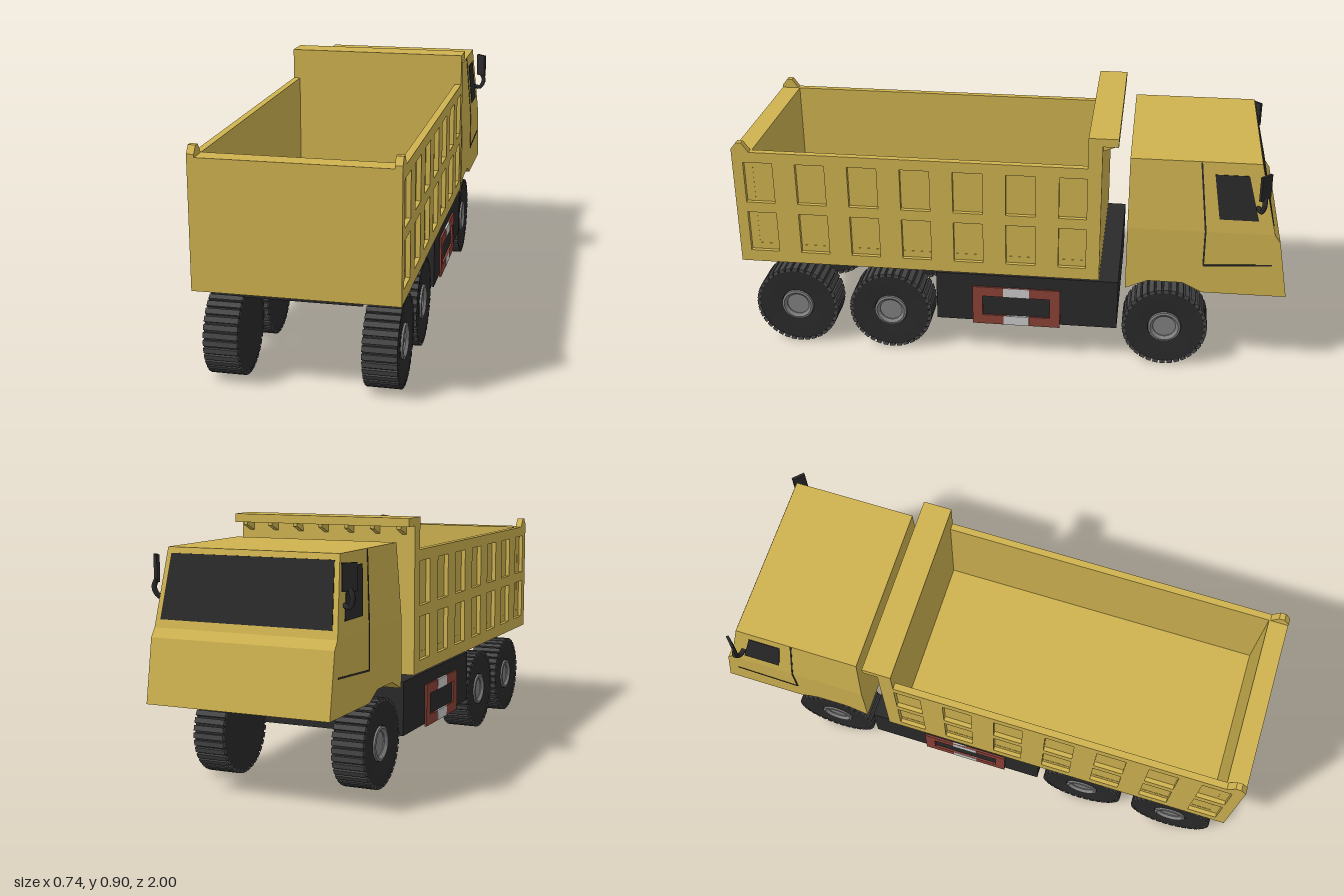
import * as THREE from 'three';
import { toCreasedNormals } from 'three/addons/utils/BufferGeometryUtils.js';

const paint = (color, side = THREE.FrontSide) => new THREE.MeshStandardMaterial({ color, side });
const yellow = paint(0xcfb350);
const dark = paint(0x2a2a2a);
const tread = paint(0x484848);
const steel = paint(0x808080);
const red = paint(0x8c4238);
const white = paint(0xcccccc);

function add(parent, name, geometry, material) {
  const mesh = new THREE.Mesh(geometry, material);
  mesh.name = name;
  parent.add(mesh);
  return mesh;
}

// Box given by its limits on each axis
function block(parent, name, material, [x0, x1], [y0, y1], [z0, z1]) {
  const mesh = add(parent, name, new THREE.BoxGeometry(x1 - x0, y1 - y0, z1 - z0), material);
  mesh.position.set((x0 + x1) / 2, (y0 + y1) / 2, (z0 + z1) / 2);
  return mesh;
}

const outline = (points) => points.map(([a, b]) => new THREE.Vector2(a, b));
const rect = (a0, a1, b0, b1) => [[a0, b0], [a1, b0], [a1, b1], [a0, b1]];

// Side profile of (z, y) points, extruded from x0 to x1
function sideExtrude(points, x0, x1, holes = []) {
  const shape = new THREE.Shape(outline(points));
  holes.forEach((h) => shape.holes.push(new THREE.Path(outline(h))));
  const geometry = new THREE.ExtrudeGeometry(shape, { depth: x1 - x0, bevelEnabled: false });
  return geometry.rotateY(-Math.PI / 2).translate(x1, 0, 0);
}

function createWheel() {
  const wheel = new THREE.Group();
  wheel.name = 'wheel';
  const lathe = (pts) => toCreasedNormals(
    new THREE.LatheGeometry(outline(pts), 36).rotateZ(-Math.PI / 2), 0.5);
  add(wheel, 'tire', lathe([[0, -0.057], [0.146, -0.057], [0.149, -0.052], [0.149, 0.052],
    [0.146, 0.057], [0.11, 0.057], [0.062, 0.052], [0.058, 0.04], [0, 0.04]]), dark);
  add(wheel, 'rim', lathe([[0.06, 0.04], [0.06, 0.058], [0.052, 0.06], [0.042, 0.05],
    [0.042, 0.046], [0, 0.046]]), steel);
  const bars = 36;
  const geometry = new THREE.BoxGeometry(0.116, 0.012, 0.019);
  for (let i = 0; i < bars; i++) {
    const a = (i / bars) * Math.PI * 2;
    const bar = add(wheel, 'treadBar', geometry, tread);
    bar.position.set(0, Math.cos(a) * 0.15, Math.sin(a) * 0.15);
    bar.rotation.x = a;
  }
  return wheel;
}

function createBed() {
  const bed = new THREE.Group();
  bed.name = 'dumpBed';
  block(bed, 'bedFloor', yellow, [-0.325, 0.325], [0.35, 0.42], [-0.3, 0.95]);
  block(bed, 'tailgate', yellow, [-0.34, 0.34], [0.35, 0.79], [0.93, 1]).scale.x = 0.955;
  block(bed, 'tailgateSkin', yellow, [-0.325, 0.325], [0.35, 0.79], [0.985, 1]);
  block(bed, 'frontWall', yellow, [-0.34, 0.34], [0.35, 0.905], [-0.33, -0.28]);
  block(bed, 'canopy', yellow, [-0.34, 0.34], [0.875, 0.905], [-0.385, -0.33]);
  for (let i = 0; i < 7; i++) {
    const x = -0.3 + i * 0.1;
    add(bed, 'canopyRib', sideExtrude([[-0.33, 0.845], [-0.33, 0.875], [-0.38, 0.875], [-0.38, 0.865]],
      x - 0.008, x + 0.008), yellow);
  }
  // Side walls with two rows of recessed pockets
  const pockets = [];
  for (let i = 0; i < 7; i++) {
    const z = -0.288 + i * 0.1903;
    pockets.push(rect(z, z + 0.107, 0.395, 0.552), rect(z, z + 0.107, 0.592, 0.75));
  }
  for (const s of [-1, 1]) {
    const span = (a, b) => (s > 0 ? [a, b] : [-b, -a]);
    block(bed, 'sideWall', yellow, span(0.315, 0.324), [0.35, 0.79], [-0.3, 0.99]);
    add(bed, 'sideFrame', sideExtrude(rect(-0.33, 1, 0.35, 0.79), ...span(0.324, 0.34), pockets), yellow);
    add(bed, 'cornerLug', sideExtrude([[1, 0.79], [1, 0.8], [0.98, 0.825], [0.96, 0.825], [0.935, 0.79]],
      ...span(0.315, 0.34)), yellow);
  }
  return bed;
}

function createCab() {
  const cab = new THREE.Group();
  cab.name = 'cab';
  const halfWidth = (y) => 0.33 - 0.02 * Math.max(0, (y - 0.565) / 0.26);
  // Narrow everything above the waistline
  const taper = (geometry) => {
    const p = geometry.attributes.position;
    for (let i = 0; i < p.count; i++) p.setX(i, (p.getX(i) * halfWidth(p.getY(i))) / 0.33);
    geometry.computeVertexNormals();
    return geometry;
  };
  add(cab, 'cabLower', sideExtrude([[-0.425, 0.32], [-0.425, 0.565], [-0.942, 0.565], [-0.963, 0.535],
    [-1, 0.32], [-0.7, 0.32], [-0.63, 0.355], [-0.505, 0.355]], -0.33, 0.33), yellow);
  add(cab, 'cabUpper', taper(sideExtrude([[-0.425, 0.565], [-0.425, 0.825], [-0.88, 0.825],
    [-0.942, 0.565]], -0.33, 0.33)), yellow);
  add(cab, 'windshield', taper(sideExtrude([[-0.87, 0.805], [-0.887, 0.805], [-0.938, 0.592],
    [-0.92, 0.592]], -0.312, 0.312)), dark);

  for (const s of [-1, 1]) {
    const span = s > 0 ? [0.325, 0.332] : [-0.332, -0.325];
    add(cab, 'sideWindow', taper(sideExtrude([[-0.72, 0.78], [-0.838, 0.78], [-0.882, 0.615],
      [-0.745, 0.615]], ...span)), dark);
    // Door seam
    const seam = [[-0.672, 0.822], [-0.7, 0.565], [-0.7, 0.43], [-0.94, 0.445]];
    for (let i = 0; i < 3; i++) {
      const [z0, y0] = seam[i], [z1, y1] = seam[i + 1];
      const strip = i < 2
        ? [[z0 - 0.003, y0], [z0 + 0.003, y0], [z1 + 0.003, y1], [z1 - 0.003, y1]]
        : [[z0, y0 - 0.003], [z0, y0 + 0.003], [z1, y1 + 0.003], [z1, y1 - 0.003]];
      add(cab, 'doorSeam', taper(sideExtrude(strip, ...span.map((v) => v * 0.9985))), dark);
    }
    // Mirror and its bent arm
    const mirror = add(cab, 'mirror', new THREE.BoxGeometry(0.05, 0.09, 0.01), dark);
    mirror.position.set(s * 0.348, 0.755, -0.893);
    mirror.rotation.y = -s * Math.PI / 4;
    const arm = new THREE.CatmullRomCurve3([[0.318, 0.665, -0.875], [0.345, 0.66, -0.885],
      [0.36, 0.69, -0.893], [0.348, 0.72, -0.893]].map(([x, y, z]) => new THREE.Vector3(s * x, y, z)));
    add(cab, 'mirrorArm', new THREE.TubeGeometry(arm, 10, 0.009, 6), dark);
  }
  return cab;
}

function createChassis() {
  const chassis = new THREE.Group();
  chassis.name = 'chassis';
  block(chassis, 'chassisBox', dark, [-0.328, 0.328], [0.145, 0.338], [-0.4, 0.27]);
  block(chassis, 'bedRail', dark, [-0.2, 0.2], [0.31, 0.352], [-0.23, 0.92]);
  // Red and white side guards
  for (const s of [-1, 1]) {
    const span = (a, b) => (s > 0 ? [a, b] : [-b, -a]);
    add(chassis, 'sideGuard', sideExtrude(rect(-0.19, 0.135, 0.135, 0.29), ...span(0.327, 0.335),
      [rect(-0.152, 0.098, 0.172, 0.252)]), red);
    for (const y of [[0.135, 0.172], [0.252, 0.29]]) {
      block(chassis, 'guardStripe', white, span(0.327, 0.336), y, [-0.075, 0.02]);
    }
  }
  return chassis;
}

export function createModel() {
  const truck = new THREE.Group();
  truck.name = 'dumpTruck';
  truck.add(createBed(), createCab(), createChassis());
  for (const z of [0.81, 0.45, -0.575]) {
    for (const s of [-1, 1]) {
      const wheel = createWheel();
      wheel.position.set(s * 0.263, 0.157, z);
      wheel.rotation.y = s > 0 ? 0 : Math.PI;
      truck.add(wheel);
    }
  }
  return truck;
}
